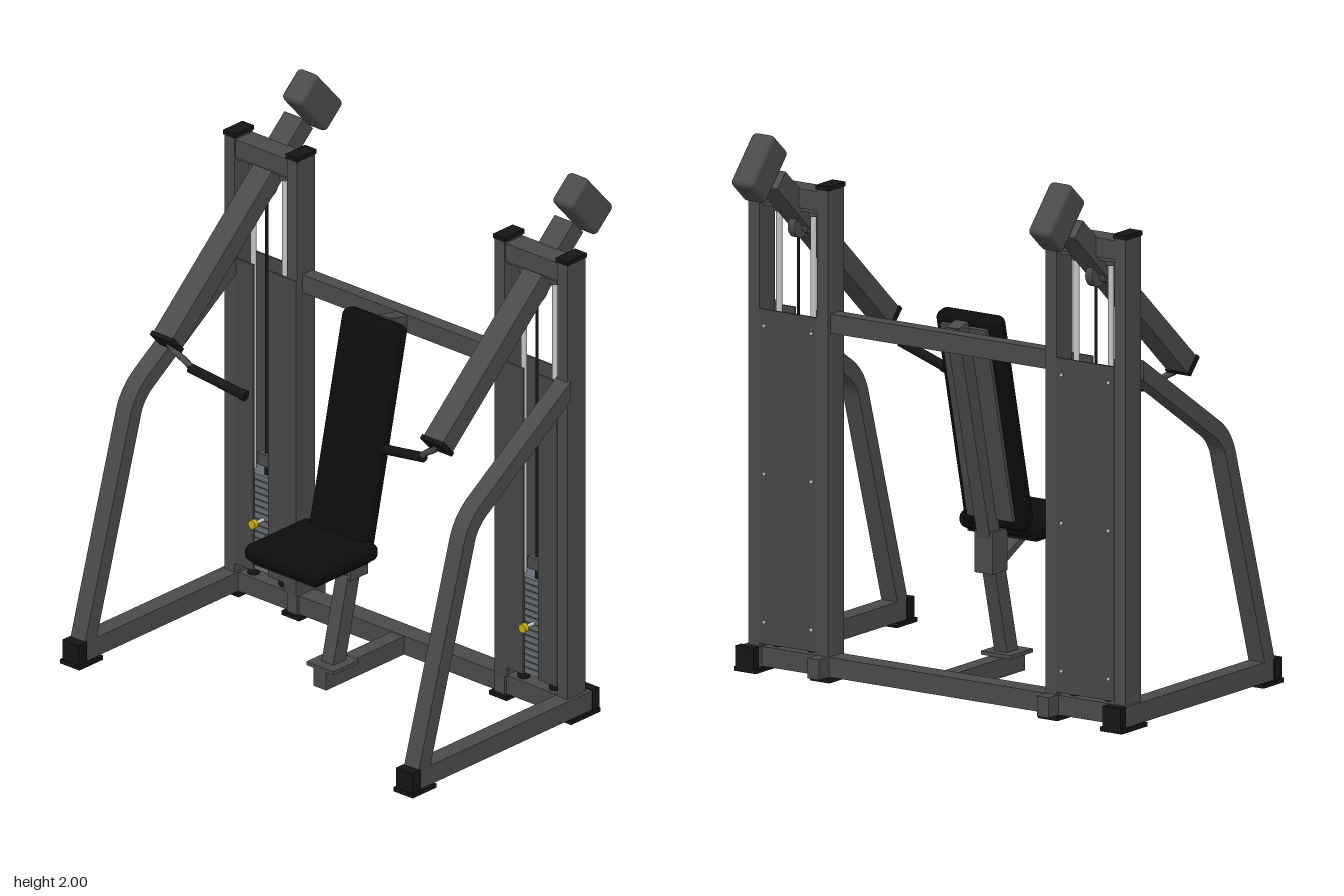
import * as THREE from 'three';
import { RoundedBoxGeometry } from 'three/addons/geometries/RoundedBoxGeometry.js';

const mat = (name, color) => {
  const m = new THREE.MeshStandardMaterial({ color });
  m.name = name;
  return m;
};

export function createModel() {
  const frame = mat('frame grey', 0x4a4a4a);
  const panelGrey = mat('panel grey', 0x464646);
  const pad = mat('pad black', 0x0c0c0c);
  const rubber = mat('rubber black', 0x151515);
  const chrome = mat('chrome', 0xc4c4c4);
  const steel = mat('weight steel', 0x656b70);
  const yellow = mat('pin yellow', 0xc4ac08);

  const root = new THREE.Group();
  root.name = 'shoulderPressMachine';

  const add = (parent, name, geo, m, x = 0, y = 0, z = 0) => {
    const mesh = new THREE.Mesh(geo, m);
    mesh.name = name;
    mesh.position.set(x, y, z);
    parent.add(mesh);
    return mesh;
  };
  // box given by its limits on each axis
  const box = (p, name, m, x0, x1, y0, y1, z0, z1) =>
    add(p, name, new THREE.BoxGeometry(x1 - x0, y1 - y0, z1 - z0), m,
      (x0 + x1) / 2, (y0 + y1) / 2, (z0 + z1) / 2);
  // sloping bar in a plane of constant x, from [y, z] to [y, z]
  const beam = (p, name, m, x, a, b, width, thick, radius = 0) => {
    const dy = b[0] - a[0], dz = b[1] - a[1], len = Math.hypot(dy, dz);
    const geo = radius
      ? new RoundedBoxGeometry(width, len, thick, 4, radius)
      : new THREE.BoxGeometry(width, len, thick);
    const mesh = add(p, name, geo, m, x, (a[0] + b[0]) / 2, (a[1] + b[1]) / 2);
    mesh.rotation.x = Math.atan2(dz, dy);
    return mesh;
  };
  // round bar between two points
  const rod = (p, name, m, a, b, r, sides = 16) => {
    const A = new THREE.Vector3(...a), d = new THREE.Vector3(...b).sub(A);
    const mesh = add(p, name, new THREE.CylinderGeometry(r, r, d.length(), sides), m);
    mesh.position.copy(A).addScaledVector(d, 0.5);
    mesh.quaternion.setFromUnitVectors(new THREE.Vector3(0, 1, 0), d.normalize());
    return mesh;
  };

  // outline of the bent front leg, drawn as (z, y)
  const legShape = new THREE.Shape();
  legShape.moveTo(-0.235, 1.335);
  legShape.lineTo(0.235, 1.022);
  legShape.quadraticCurveTo(0.31, 0.97, 0.333, 0.88);
  legShape.lineTo(0.57, 0.08);
  legShape.lineTo(0.508, 0.08);
  legShape.lineTo(0.275, 0.87);
  legShape.quadraticCurveTo(0.26, 0.935, 0.2, 0.972);
  legShape.lineTo(-0.235, 1.262);
  const legGeo = new THREE.ExtrudeGeometry(legShape, { depth: 0.07, bevelEnabled: false, curveSegments: 8 });
  legGeo.translate(0, 0, -0.035).rotateY(-Math.PI / 2);

  for (const s of [1, -1]) {
    const side = new THREE.Group();
    side.name = s > 0 ? 'leftTower' : 'rightTower';
    root.add(side);
    const X = (a, b) => (s > 0 ? [a, b] : [-b, -a]);
    const sbox = (name, m, a, b, ...r) => box(side, name, m, ...X(a, b), ...r);

    // uprights with end caps
    for (const x of [0.798, 0.498]) {
      sbox('upright', frame, x - 0.024, x + 0.024, 0.015, 1.79, -0.325, -0.23);
      sbox('uprightCap', rubber, x - 0.028, x + 0.028, 1.788, 1.805, -0.329, -0.226);
    }
    sbox('towerTopBar', frame, 0.52, 0.776, 1.71, 1.78, -0.325, -0.235);
    sbox('towerTopPlate', frame, 0.52, 0.776, 1.695, 1.71, -0.31, -0.25);

    // side base rail, bent leg, feet
    sbox('sideRail', frame, 0.765, 0.835, 0.016, 0.09, -0.375, 0.6);
    add(side, 'frontLeg', legGeo, frame, s * 0.8, 0, 0);
    sbox('frontRailCap', rubber, 0.761, 0.839, 0.012, 0.093, 0.56, 0.605);
    sbox('frontFoot', rubber, 0.753, 0.845, 0, 0.016, 0.485, 0.61);
    sbox('rearRailCap', rubber, 0.761, 0.839, 0.012, 0.093, -0.38, -0.345);
    sbox('rearFoot', rubber, 0.75, 0.845, 0, 0.016, -0.38, -0.225);
    sbox('innerFoot', rubber, 0.455, 0.54, 0, 0.016, -0.345, -0.22);
    sbox('innerHeel', frame, 0.475, 0.525, 0.016, 0.09, -0.38, -0.32);

    // shroud: two front strips with a slot between, and a bolted back panel
    sbox('frontPanelInner', panelGrey, 0.475, 0.612, 0.125, 1.32, -0.236, -0.228);
    sbox('frontPanelOuter', panelGrey, 0.684, 0.774, 0.125, 1.32, -0.236, -0.228);
    sbox('panelLip', panelGrey, 0.475, 0.535, 0.09, 1.32, -0.236, -0.227);
    sbox('backPanel', panelGrey, 0.522, 0.774, 0.1, 1.32, -0.327, -0.319);
    for (const x of [0.545, 0.75]) for (const y of [0.18, 0.72, 1.26])
      rod(side, 'panelBolt', chrome, [s * x, y, -0.325], [s * x, y, -0.332], 0.007, 10);

    // weight stack, guide rods, cable
    for (let i = 0; i < 15; i++) {
      const y = 0.125 + i * 0.0253;
      sbox('weightPlate', steel, 0.55, 0.746, y, y + 0.021, -0.305, -0.242);
    }
    sbox('stackCore', rubber, 0.556, 0.74, 0.123, 0.498, -0.3, -0.248);
    sbox('cableYoke', frame, 0.62, 0.676, 0.54, 0.585, -0.295, -0.242);
    rod(side, 'stackStem', rubber, [s * 0.648, 0.49, -0.268], [s * 0.648, 0.55, -0.268], 0.012);
    for (const x of [0.573, 0.723]) {
      rod(side, 'guideRod', chrome, [s * x, 0.09, -0.275], [s * x, 1.7, -0.275], 0.011);
      rod(side, 'rodCollar', frame, [s * x, 1.675, -0.275], [s * x, 1.7, -0.275], 0.02);
      rod(side, 'rodBumper', rubber, [s * x, 0.085, -0.275], [s * x, 0.125, -0.275], 0.022);
    }
    rod(side, 'cable', rubber, [s * 0.648, 0.56, -0.262], [s * 0.648, 1.62, -0.262], 0.006, 10);
    rod(side, 'pulley', frame, [s * 0.633, 1.63, -0.262], [s * 0.663, 1.63, -0.262], 0.045, 24);
    rod(side, 'pinShaft', chrome, [s * 0.648, 0.33, -0.25], [s * 0.648, 0.33, -0.195], 0.007, 10);
    rod(side, 'pinKnob', yellow, [s * 0.648, 0.33, -0.2], [s * 0.648, 0.33, -0.182], 0.017);

    // pressing arm with counterweight, pivot and handle
    beam(side, 'pressArm', frame, s * 0.648, [1.2, 0.265], [1.83, -0.43], 0.092, 0.074);
    beam(side, 'armEndCap', rubber, s * 0.648, [1.195, 0.271], [1.207, 0.258], 0.104, 0.08);
    beam(side, 'counterweight', frame, s * 0.648, [1.965, -0.429], [1.801, -0.575], 0.096, 0.13, 0.02);
    rod(side, 'armPivot', frame, [s * 0.61, 1.625, -0.235], [s * 0.686, 1.625, -0.235], 0.028, 20);
    const curve = new THREE.CatmullRomCurve3([[0.645, 1.2, 0.262], [0.625, 1.173, 0.256], [0.59, 1.152, 0.25],
      [0.545, 1.115, 0.237]].map(([x, y, z]) => new THREE.Vector3(s * x, y, z)));
    add(side, 'handleRod', new THREE.TubeGeometry(curve, 16, 0.012, 10), frame);
    rod(side, 'handleGrip', rubber, [s * 0.56, 1.118, 0.24], [s * 0.335, 1.065, 0.198], 0.018, 18);
    rod(side, 'gripEnd', rubber, [s * 0.345, 1.067, 0.2], [s * 0.33, 1.064, 0.197], 0.021, 18);
  }

  // cross members
  box(root, 'baseCrossRail', frame, -0.77, 0.77, 0.016, 0.088, -0.32, -0.24);
  box(root, 'upperCrossRail', frame, -0.476, 0.476, 1.268, 1.338, -0.312, -0.258);
  box(root, 'centreRail', frame, -0.03, 0.03, 0.016, 0.086, -0.25, 0.17);
  box(root, 'seatPostPlate', frame, -0.065, 0.065, 0.086, 0.1, 0.035, 0.17);

  // seat post and back support
  beam(root, 'seatPost', frame, 0, [0.09, 0.1], [1.345, -0.203], 0.056, 0.064);
  box(root, 'postBracket', frame, -0.027, 0.027, 1.275, 1.335, -0.26, -0.19);
  beam(root, 'backBoard', frame, 0, [0.6, 0.008], [1.33, -0.158], 0.2, 0.02);
  beam(root, 'backPad', pad, 0, [0.56, 0.06], [1.372, -0.124], 0.276, 0.075, 0.03);

  // seat, carrier and adjuster
  const seat = add(root, 'seatPad', new RoundedBoxGeometry(0.36, 0.068, 0.34, 5, 0.03), pad, 0, 0.563, 0.215);
  seat.rotation.x = 0;
  box(root, 'seatBoard', rubber, -0.15, 0.15, 0.52, 0.535, 0.07, 0.36);
  box(root, 'seatCarrier', frame, -0.039, 0.039, 0.405, 0.56, -0.04, 0.052);
  beam(root, 'seatBrace', frame, 0, [0.435, 0.045], [0.512, 0.2], 0.05, 0.026);
  rod(root, 'adjusterShaft', chrome, [0.03, 0.48, 0.01], [0.048, 0.48, 0.01], 0.009, 12);
  rod(root, 'adjusterKnob', yellow, [0.042, 0.48, 0.01], [0.064, 0.48, 0.01], 0.017, 16);

  return root;
}
